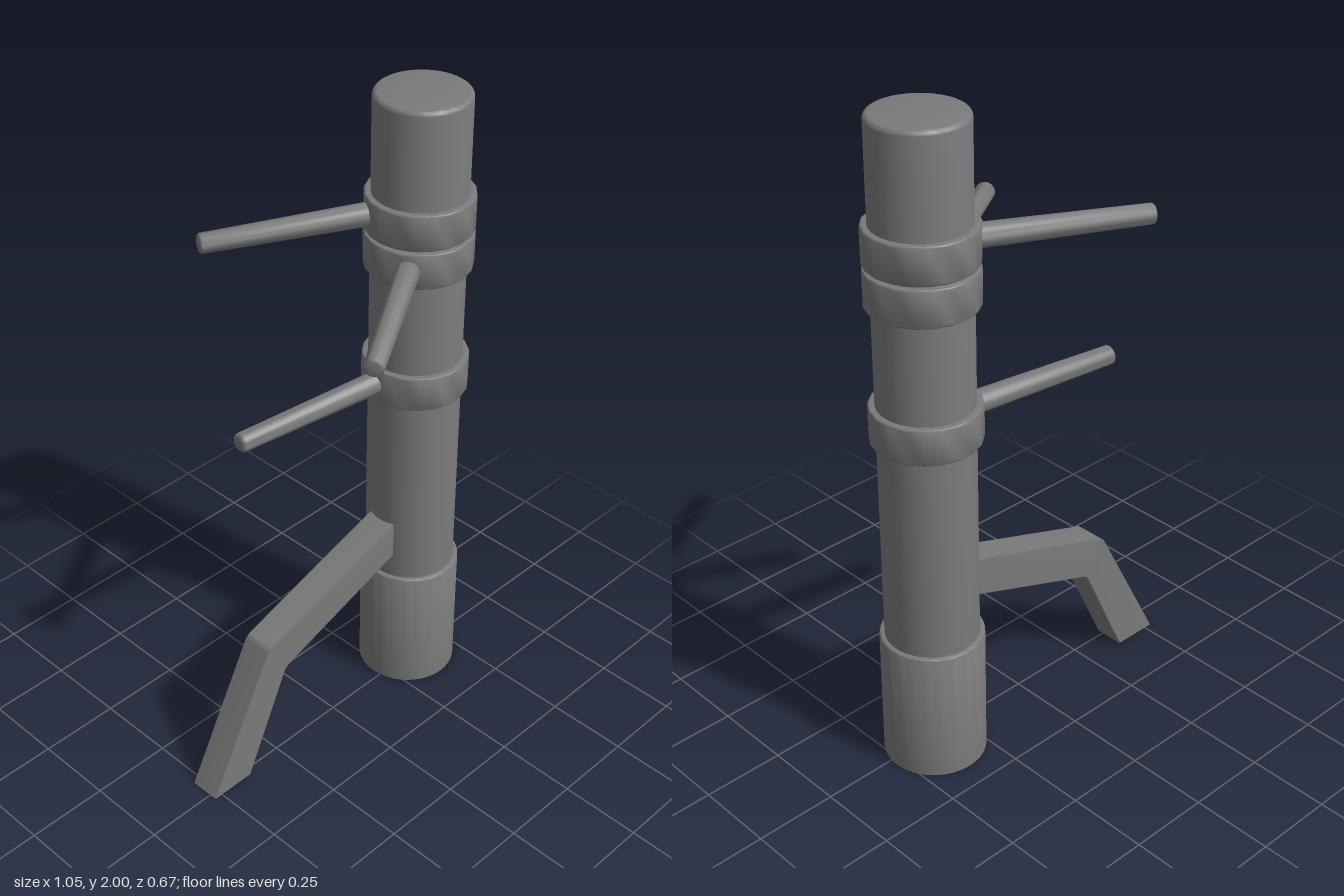
import * as THREE from 'three';
import { toCreasedNormals } from 'three/addons/utils/BufferGeometryUtils.js';

const material = new THREE.MeshStandardMaterial({ color: 0x7a7a7a, side: THREE.DoubleSide });
const AXIS_X = 0.368, AXIS_Z = -0.0255;

// Rounded outer edge of a profile: [radius, height] pairs from the side up to the top face
function roundedEdge(r, y, e) {
  return [0, 1, 2, 3, 4].map((i) => {
    const t = i * Math.PI / 8;
    return [r - e + e * Math.cos(t), y - e + e * Math.sin(t)];
  });
}

// Turned part from [radius, height] pairs, listed bottom to top
function turned(name, profile, segments) {
  const points = profile.map(([r, y]) => new THREE.Vector2(r, y));
  const geometry = toCreasedNormals(new THREE.LatheGeometry(points, segments), 0.7);
  const mesh = new THREE.Mesh(geometry, material);
  mesh.name = name;
  return mesh;
}

// Tapered peg with a rounded tip, running from root to tip
function arm(name, root, tip) {
  const start = new THREE.Vector3(...root), end = new THREE.Vector3(...tip);
  const length = start.distanceTo(end);
  const mesh = turned(name, [[0, 0], [0.035, 0], ...roundedEdge(0.029, length, 0.01), [0, length]], 20);
  mesh.position.copy(start);
  mesh.quaternion.setFromUnitVectors(new THREE.Vector3(0, 1, 0), end.sub(start).normalize());
  return mesh;
}

// Bent leg: a rectangular section with softened edges, open at the foot
function bentLeg() {
  const top = [0.26, 0.63, 0.26, 0.505]; // [upper x, upper y, lower x, lower y]
  const bend = [-0.29, 0.45, -0.222, 0.337];
  const foot = [-0.527, 0, -0.38, 0];
  const mix = (a, b, t) => a.map((v, i) => v + (b[i] - v) * t);
  const stations = [top, mix(bend, top, 0.02), mix(bend, foot, 0.025), foot];

  // Section corners: [position from upper to lower edge, z]
  const half = 0.049, inset = 0.003, chamfer = 0.03;
  const section = [
    [0, half - inset], [0, inset - half], [chamfer, -half], [1 - chamfer, -half],
    [1, inset - half], [1, half - inset], [1 - chamfer, half], [chamfer, half],
  ];
  const n = section.length;
  const positions = [], index = [];
  for (const [ux, uy, lx, ly] of stations) {
    for (const [t, z] of section) positions.push(ux + (lx - ux) * t, uy + (ly - uy) * t, z);
  }
  for (let s = 0; s < stations.length - 1; s++) {
    for (let i = 0; i < n; i++) {
      const a = s * n + i, b = s * n + (i + 1) % n;
      index.push(a, b, b + n, a, b + n, a + n);
    }
  }
  const geometry = new THREE.BufferGeometry();
  geometry.setAttribute('position', new THREE.Float32BufferAttribute(positions, 3));
  geometry.setIndex(index);
  geometry.computeVertexNormals();
  const mesh = new THREE.Mesh(geometry, material);
  mesh.name = 'bentLeg';
  mesh.position.z = AXIS_Z;
  return mesh;
}

export function createModel() {
  const model = new THREE.Group();
  model.name = 'trainingPost';

  // Trunk with a thicker base, open underneath
  const trunk = turned('trunk', [
    [0.153, 0], ...roundedEdge(0.153, 0.42, 0.007), [0.138, 0.42],
    ...roundedEdge(0.138, 2, 0.014), [0, 2],
  ], 48);
  trunk.position.set(AXIS_X, 0, AXIS_Z);
  model.add(trunk);

  // Collars that carry the arms
  const height = 0.111;
  const upperEdge = roundedEdge(0.158, height, 0.006);
  const lowerEdge = upperEdge.map(([r, y]) => [r, height - y]).reverse();
  const collars = [['upperCollar', 1.592], ['middleCollar', 1.472], ['lowerCollar', 1.064]];
  collars.forEach(([name, y], i) => {
    const collar = turned(name, [[0.136, 0], ...lowerEdge, ...upperEdge, [0.136, height]], 20);
    collar.position.set(AXIS_X, y, AXIS_Z);
    collar.rotation.y = i * 0.09;
    model.add(collar);
  });

  // Arms
  model.add(
    arm('upperArm', [0.28, 1.648, -0.079], [-0.198, 1.645, -0.315]),
    arm('middleArm', [0.28, 1.528, 0.027], [-0.171, 1.523, 0.313]),
    arm('lowerArm', [0.26, 1.12, -0.042], [-0.262, 1.118, -0.11]),
  );

  model.add(bentLeg());
  return model;
}
